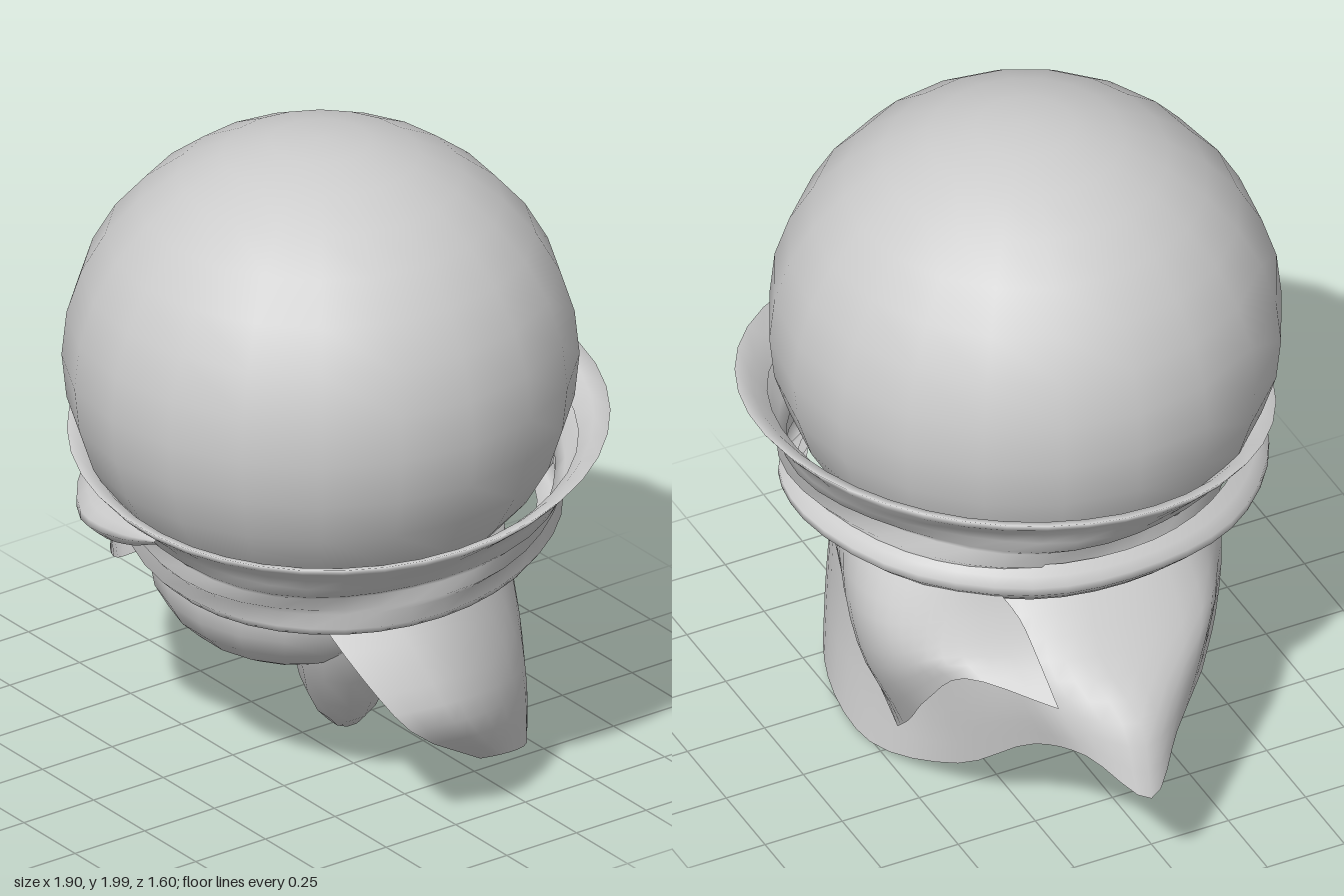
import * as THREE from 'three';

const V = (p) => new THREE.Vector3(...p);

// Indexed grid surface from a rule f(u, v) -> [x, y, z]; u may wrap around
function surface(f, nu, nv, closed = false) {
  const cols = closed ? nu : nu + 1, pos = [], idx = [];
  for (let i = 0; i < cols; i++)
    for (let j = 0; j <= nv; j++) pos.push(...f(i / nu, j / nv));
  for (let i = 0; i < nu; i++)
    for (let j = 0; j < nv; j++) {
      const a = i * (nv + 1) + j, b = ((i + 1) % cols) * (nv + 1) + j;
      idx.push(a, a + 1, b, b, a + 1, b + 1);
    }
  const g = new THREE.BufferGeometry();
  g.setAttribute('position', new THREE.Float32BufferAttribute(pos, 3));
  g.setIndex(idx);
  g.computeVertexNormals();
  return g;
}

// Smooth cloth through a few cross-section curves
function cloth(sections, nu, nv) {
  const curves = sections.map((s) => new THREE.CatmullRomCurve3(s.map(V)));
  return surface((u, v) => {
    const across = new THREE.CatmullRomCurve3(curves.map((c) => c.getPoint(v)));
    return across.getPoint(u).toArray();
  }, nu, nv);
}

export function createModel() {
  const group = new THREE.Group();
  const grey = new THREE.MeshStandardMaterial({ color: 0xcccccc, side: THREE.DoubleSide });
  grey.name = 'grey';
  const add = (name, geometry) => {
    const mesh = new THREE.Mesh(geometry, grey);
    mesh.name = name;
    group.add(mesh);
    return mesh;
  };

  // Round head
  add('head', new THREE.SphereGeometry(1, 20, 16).scale(0.75, 0.7, 0.75).translate(0.15, 1.3, 0.045));

  // Tilted, creased scarf wrapped around the lower head: [radius, height fraction from the top]
  const profile = [[0.70, 0.22], [0.75, 0.06], [0.8, 0], [0.775, 0.1], [0.725, 0.25], [0.695, 0.38],
    [0.675, 0.5], [0.645, 0.58], [0.665, 0.68], [0.635, 0.78], [0.655, 0.9], [0.63, 1], [0.58, 0.95]];
  add('scarf', surface((u, v) => {
    const a = u * Math.PI * 2, s = Math.sin(a), c = Math.cos(a);
    const [r0, t] = profile[Math.round(v * (profile.length - 1))];
    const top = 1.07 - 0.085 * c - 0.06 * s;
    const bottom = 0.745 - 0.075 * c - 0.05 * s + 0.04 * Math.max(0, Math.cos(a + 0.8)) ** 4;
    const r = r0 + 0.01 * Math.sin(5 * a + 9 * t) * Math.sin(Math.PI * t);
    return [0.15 - 0.03 * t + r * s, top + (bottom - top) * t, -0.02 - 0.03 * t + (r - 0.02) * c];
  }, 40, profile.length - 1, true));

  // Overlapping fold: from the back, round the right side, tapering to a point at the front
  add('scarfFold', cloth([
    [[0.46, 0.87, -0.5], [0.47, 0.86, -0.51], [0.45, 0.84, -0.49]],
    [[0.33, 0.9, -0.6], [0.35, 0.87, -0.66], [0.33, 0.82, -0.61]],
    [[0.08, 0.92, -0.64], [0.08, 0.87, -0.71], [0.08, 0.81, -0.64]],
    [[-0.28, 0.93, -0.52], [-0.3, 0.87, -0.57], [-0.27, 0.8, -0.51]],
    [[-0.5, 0.93, -0.24], [-0.54, 0.86, -0.25], [-0.48, 0.79, -0.23]],
    [[-0.53, 0.92, 0.1], [-0.58, 0.86, 0.1], [-0.52, 0.79, 0.1]],
    [[-0.41, 0.91, 0.38], [-0.46, 0.84, 0.43], [-0.4, 0.775, 0.38]],
    [[-0.15, 0.9, 0.61], [-0.17, 0.84, 0.68], [-0.14, 0.775, 0.62]],
    [[0.06, 0.92, 0.67], [0.06, 0.87, 0.71], [0.06, 0.83, 0.67]],
    [[0.23, 0.92, 0.69], [0.23, 0.915, 0.7], [0.23, 0.905, 0.69]],
  ], 32, 5));

  // Small body tucked below the head
  add('body', new THREE.SphereGeometry(1, 18, 12).scale(0.43, 0.27, 0.37).translate(0.07, 0.62, 0.12));

  // Pointed legs sweeping down and back
  const legProfile = [[0, 0], [0.05, 0.03], [0.085, 0.1], [0.115, 0.2], [0.13, 0.32], [0.13, 0.44], [0.09, 0.58], [0, 0.66]]
    .map((p) => new THREE.Vector2(...p));
  const leg = (name, tip, root, width) => {
    const mesh = add(name, new THREE.LatheGeometry(legProfile, 12));
    const axis = V(root).sub(V(tip));
    mesh.scale.set(width, axis.length() / 0.66, width);
    mesh.quaternion.setFromUnitVectors(new THREE.Vector3(0, 1, 0), axis.normalize());
    mesh.position.set(...tip);
  };
  leg('rightLeg', [-0.31, 0.14, -0.09], [-0.22, 0.72, 0.15], 0.98);
  leg('leftLeg', [0.1, 0.07, -0.08], [0.43, 0.78, 0.17], 1.15);

  // Cape wrapping from the left front, round the back, to a pointed corner on the right
  add('cape', cloth([
    [[0.48, 0.7, 0.33], [0.66, 0.52, 0.27], [0.76, 0.36, 0.17], [0.68, 0.15, -0.14]],
    [[0.66, 0.72, 0.1], [0.75, 0.56, 0.06], [0.81, 0.37, 0], [0.71, 0.16, -0.19]],
    [[0.61, 0.74, -0.22], [0.64, 0.5, -0.29], [0.64, 0.3, -0.33], [0.58, 0.09, -0.38]],
    [[0.42, 0.76, -0.41], [0.44, 0.5, -0.43], [0.42, 0.25, -0.45], [0.36, 0.03, -0.49]],
    [[0.1, 0.78, -0.44], [0.1, 0.5, -0.44], [0.08, 0.25, -0.46], [0.05, 0.01, -0.51]],
    [[-0.2, 0.78, -0.42], [-0.24, 0.55, -0.43], [-0.28, 0.33, -0.42], [-0.3, 0.13, -0.4]],
    [[-0.38, 0.78, -0.35], [-0.48, 0.62, -0.36], [-0.55, 0.48, -0.34], [-0.6, 0.37, -0.3]],
    [[-0.44, 0.79, -0.23], [-0.59, 0.66, -0.3], [-0.71, 0.54, -0.27], [-0.79, 0.43, -0.23]],
    [[-0.47, 0.79, -0.06], [-0.66, 0.67, -0.12], [-0.86, 0.55, -0.09], [-0.95, 0.34, -0.1]],
    [[-0.38, 0.78, 0.28], [-0.56, 0.64, 0.26], [-0.71, 0.54, 0.15], [-0.82, 0.45, 0.05]],
    [[-0.07, 0.72, 0.54], [-0.25, 0.61, 0.48], [-0.45, 0.52, 0.36], [-0.62, 0.47, 0.23]],
  ], 40, 9));

  // Loose scarf end hanging at the back, its upper corner flicked out to the right
  add('scarfTail', cloth([
    [[0.3, 0.78, -0.53], [0.17, 0.55, -0.54], [0.03, 0.35, -0.53], [-0.11, 0.17, -0.5]],
    [[0.05, 0.82, -0.57], [-0.08, 0.65, -0.64], [-0.2, 0.5, -0.64], [-0.33, 0.37, -0.57]],
    [[-0.2, 0.83, -0.54], [-0.33, 0.74, -0.64], [-0.44, 0.66, -0.66], [-0.54, 0.6, -0.62]],
    [[-0.36, 0.84, -0.44], [-0.5, 0.83, -0.54], [-0.62, 0.8, -0.61], [-0.7, 0.77, -0.58]],
    [[-0.42, 0.83, -0.34], [-0.6, 0.84, -0.35], [-0.77, 0.83, -0.38], [-0.93, 0.75, -0.39]],
  ], 16, 9));

  return group;
}
